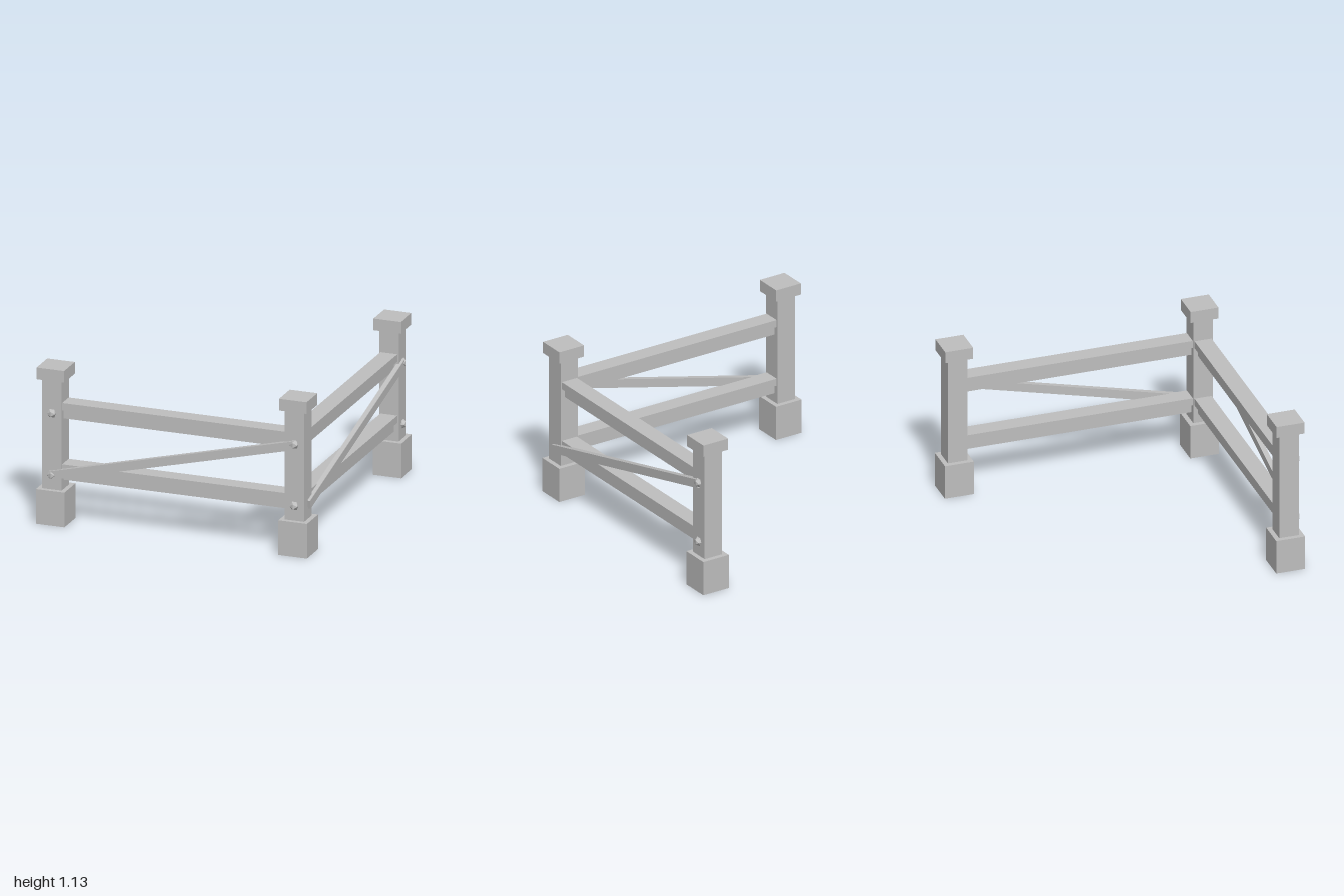
import * as THREE from 'three';

const X0 = -0.897, X1 = 0.888, Z0 = -0.89, Z1 = 0.894; // post centre lines

export function createModel() {
  const model = new THREE.Group();
  model.name = 'cornerFence';
  const grey = new THREE.MeshStandardMaterial({ color: 0xbfbfbf });
  grey.name = 'plainGrey';

  const add = (parent, name, geometry, x, y, z) => {
    const mesh = new THREE.Mesh(geometry, grey);
    mesh.name = name;
    mesh.position.set(x, y, z);
    parent.add(mesh);
    return mesh;
  };
  const box = (parent, name, w, h, d, x, y, z) =>
    add(parent, name, new THREE.BoxGeometry(w, h, d), x, y, z);

  // Posts: square footing, shaft and cap
  const addPost = (name, x, z) => {
    const post = new THREE.Group();
    post.name = name;
    post.position.set(x, 0, z);
    box(post, 'footing', 0.21, 0.252, 0.21, 0, 0.126, 0);
    box(post, 'shaft', 0.143, 0.82, 0.143, 0, 0.65, 0);
    box(post, 'cap', 0.203, 0.085, 0.203, 0, 1.0925, 0);
    model.add(post);
  };
  addPost('rightPost', X0, Z1);
  addPost('cornerPost', X1, Z1);
  addPost('backPost', X1, Z0);

  // T-shaped rail section, wide board over a narrower beam
  const section = new THREE.Shape([
    [-0.062, 0.12], [-0.062, 0.067], [-0.036, 0.067], [-0.036, 0],
    [0.036, 0], [0.036, 0.067], [0.062, 0.067], [0.062, 0.12],
  ].map(([x, y]) => new THREE.Vector2(x, y)));

  // Each fence run lies along local x with its outer face on +z
  const addRun = (name, length, boltSides) => {
    const run = new THREE.Group();
    run.name = name;
    for (const [part, y] of [['lowerRail', 0.32], ['upperRail', 0.766]]) {
      const geometry = new THREE.ExtrudeGeometry(section, { depth: length, bevelEnabled: false });
      geometry.translate(0, 0, -length / 2).rotateY(Math.PI / 2);
      add(run, part, geometry, 0, y, 0);
    }

    // Diagonal brace on the outside of the posts
    const rise = 0.444;
    const brace = box(run, 'brace', Math.hypot(length, rise) + 0.01, 0.062, 0.036, 0, 0.58, 0.073);
    brace.rotation.z = Math.atan2(rise, length);

    // Faceted bolt heads
    for (const side of boltSides) {
      for (const y of [0.36, 0.806]) {
        const bolt = new THREE.IcosahedronGeometry(0.034, 0);
        add(run, 'bolt', bolt, side * length / 2, y, 0.073);
      }
    }
    model.add(run);
    return run;
  };

  const front = addRun('frontRun', X1 - X0, [-1, 1]);
  front.position.set((X0 + X1) / 2, 0, Z1);

  const side = addRun('sideRun', Z1 - Z0, [1]);
  side.position.set(X1, 0, (Z0 + Z1) / 2);
  side.rotation.y = Math.PI / 2;

  return model;
}
